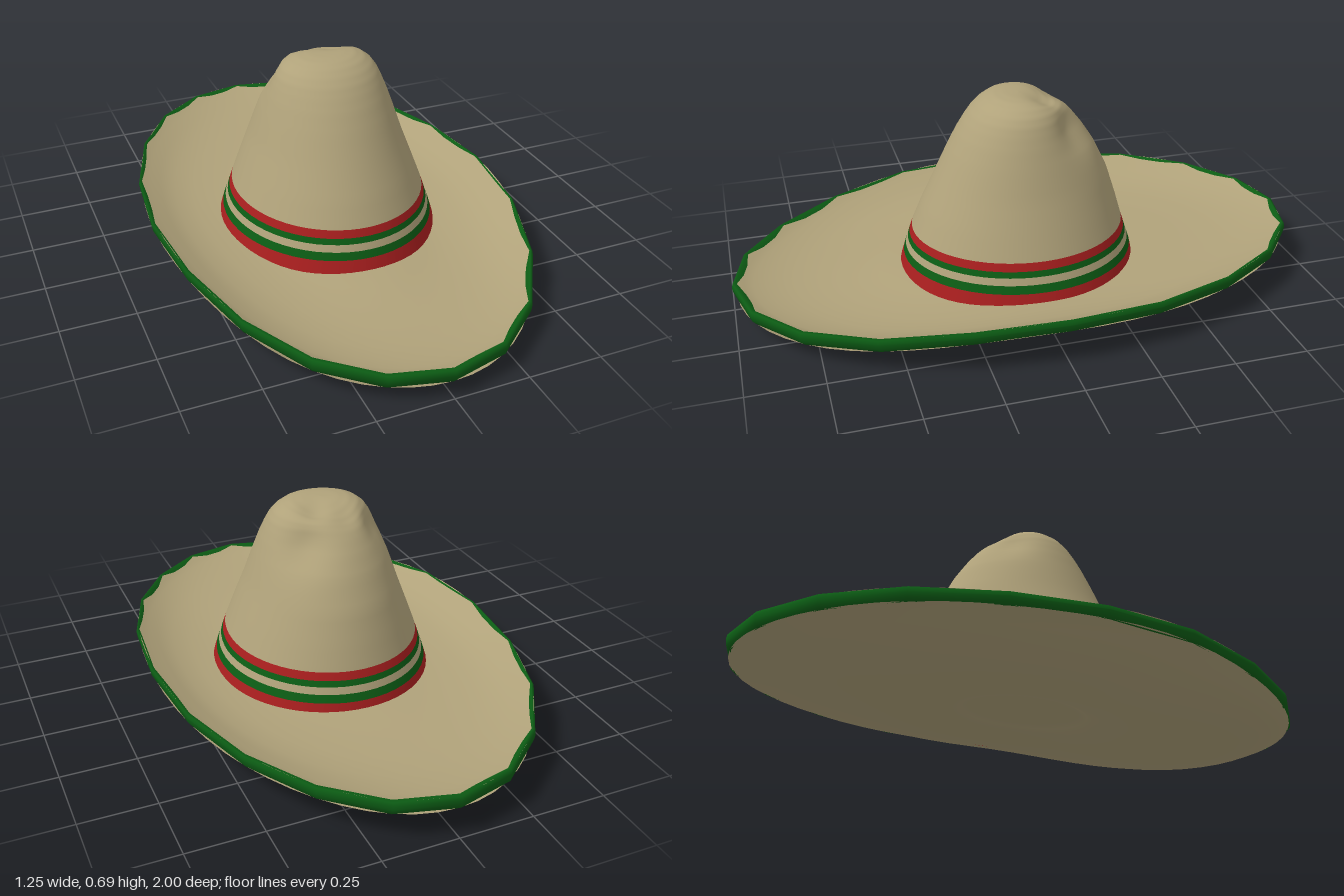
import * as THREE from 'three';

const TAN = 0xb0a27a, GREEN = 0x0c5c14, RED = 0xa81e1e;

// Smooth surface through closed rings; point(ring, angle) returns [x, y, z]
function loft(name, color, rings, sides, point) {
  const pos = [], index = [];
  rings.forEach((ring) => {
    for (let j = 0; j < sides; j++) pos.push(...point(ring, (j / sides) * Math.PI * 2));
  });
  for (let i = 0; i < rings.length - 1; i++) {
    for (let j = 0; j < sides; j++) {
      const k = (j + 1) % sides, a = i * sides, b = a + sides;
      index.push(a + j, a + k, b + k, a + j, b + k, b + j);
    }
  }
  const geo = new THREE.BufferGeometry();
  geo.setAttribute('position', new THREE.Float32BufferAttribute(pos, 3));
  geo.setIndex(index);
  geo.computeVertexNormals();
  const mesh = new THREE.Mesh(geo, new THREE.MeshStandardMaterial({ color, side: THREE.DoubleSide }));
  mesh.name = name;
  return mesh;
}

// Linear lookup in rows sorted by their first entry
function lookup(rows, t) {
  let i = 0;
  while (i < rows.length - 2 && t > rows[i + 1][0]) i++;
  const f = THREE.MathUtils.clamp((t - rows[i][0]) / (rows[i + 1][0] - rows[i][0]), 0, 1);
  return rows[i].map((v, k) => v + (rows[i + 1][k] - v) * f);
}

// Brim heights: [share of radius, front, side, back]
const UNDER = [
  [0, 0.05, 0.05, 0.05], [0.2, 0.05, 0.05, 0.05], [0.25, 0.03, 0.038, 0.038],
  [0.4, 0.01, 0.035, 0.032], [0.6, 0.0, 0.045, 0.05], [0.8, 0.008, 0.08, 0.072],
  [0.93, 0.03, 0.115, 0.09], [1, 0.06, 0.13, 0.1],
];
const UPPER = [
  [0.3, 0.09, 0.09, 0.095], [0.4, 0.085, 0.09, 0.095], [0.6, 0.06, 0.09, 0.095],
  [0.8, 0.058, 0.108, 0.105], [0.93, 0.08, 0.148, 0.13], [1, 0.108, 0.172, 0.152],
];

function brimPoint(table, rho, a, lift = 0) {
  const [, front, side, back] = lookup(table, rho);
  const s = Math.sin(a) ** 2, c = Math.cos(a);
  const y = c > 0 ? front + (side - front) * s * s : back + (side - back) * s;
  const ripple = 0.004 * Math.sin(5 * a + 1) * s * Math.max(0, rho - 0.5) * 2;
  return [0.625 * rho * Math.sin(a), y + ripple + lift, rho * c];
}

// Crown profile: [height, half width, front depth, back depth]
const CROWN = [
  [0.05, 0.385, 0.43, 0.415], [0.1, 0.37, 0.415, 0.405], [0.15, 0.352, 0.4, 0.388],
  [0.22, 0.328, 0.377, 0.365], [0.3, 0.298, 0.343, 0.342], [0.4, 0.26, 0.295, 0.31],
  [0.5, 0.227, 0.247, 0.262], [0.56, 0.206, 0.215, 0.224], [0.6, 0.19, 0.19, 0.194],
  [0.63, 0.176, 0.168, 0.17], [0.655, 0.158, 0.143, 0.146], [0.675, 0.132, 0.115, 0.12],
  [0.687, 0.1, 0.085, 0.09], [0.692, 0.06, 0.05, 0.055], [0.693, 0, 0, 0],
];

// Pinches pressed into the crown: [x, y, z, size, inward, down]
const DENTS = [
  [0.13, 0.58, -0.16, 0.08, 0.03, 0.0], [-0.14, 0.6, -0.11, 0.07, 0.022, 0.0],
  [0.06, 0.69, -0.08, 0.055, 0.0, 0.025], [-0.03, 0.68, -0.12, 0.06, 0.0, 0.022],
];

function crownPoint([y, w, front, back], a) {
  const c = Math.cos(a);
  const p = [0.008 + w * Math.sin(a), y, (c > 0 ? front : back) * c];
  let pinch = 0, drop = 0;
  for (const [dx, dy, dz, size, inward, down] of DENTS) {
    const d2 = (p[0] - dx) ** 2 + (y - dy) ** 2 + (p[2] - dz) ** 2;
    const g = Math.exp(-d2 / (size * size));
    pinch += inward * g;
    drop += down * g;
  }
  const r = Math.hypot(p[0], p[2]) || 1;
  const scale = 1 - Math.min(pinch / r, 0.3);
  return [p[0] * scale, y - drop, p[2] * scale];
}

export function createModel() {
  const hat = new THREE.Group();
  hat.name = 'wideBrimHat';

  // Brim: upper and lower skins
  const brim = new THREE.Group();
  brim.name = 'brim';
  const upper = [0.985, 0.96, 0.93, 0.88, 0.8, 0.7, 0.6, 0.5, 0.4, 0.3];
  const under = [0, 0.1, 0.2, 0.225, 0.25, 0.32, 0.4, 0.5, 0.6, 0.7, 0.8, 0.87, 0.93, 0.985];
  brim.add(loft('brimTop', TAN, upper, 60, (r, a) => brimPoint(UPPER, r, a)));
  brim.add(loft('brimUnderside', TAN, under, 60, (r, a) => brimPoint(UNDER, r, a)));

  // Trim: coarse rounded band wrapped round the edge, [radius, table, lift]
  const trim = [
    [0.965, UNDER, 0.004], [0.985, UNDER, -0.001], [0.997, UNDER, 0.008], [1, UNDER, 0.022],
    [1, UPPER, -0.018], [0.997, UPPER, -0.005], [0.987, UPPER, 0.002], [0.97, UPPER, -0.006],
  ];
  brim.add(loft('brimTrim', GREEN, trim, 20, ([r, table, lift], a) => brimPoint(table, r, a, lift)));
  hat.add(brim);

  // Hat band: stacked coloured stripes following the crown profile
  const band = new THREE.Group();
  band.name = 'hatBand';
  const edges = [0.05, 0.122, 0.149, 0.173, 0.193, 0.22];
  [RED, GREEN, TAN, GREEN, RED].forEach((color, i) => {
    const rows = [edges[i], edges[i + 1]].map((y) => lookup(CROWN, y));
    band.add(loft('stripe' + (i + 1), color, rows, 60, crownPoint));
  });
  hat.add(band);

  // Crown: subdivided profile above the band
  const rows = [];
  for (let i = 3; i < CROWN.length - 1; i++) {
    for (let k = 0; k < 4; k++) {
      rows.push(CROWN[i].map((v, n) => v + ((CROWN[i + 1][n] - v) * k) / 4));
    }
  }
  rows.push(CROWN[CROWN.length - 1]);
  hat.add(loft('crown', TAN, rows, 60, crownPoint));
  return hat;
}
